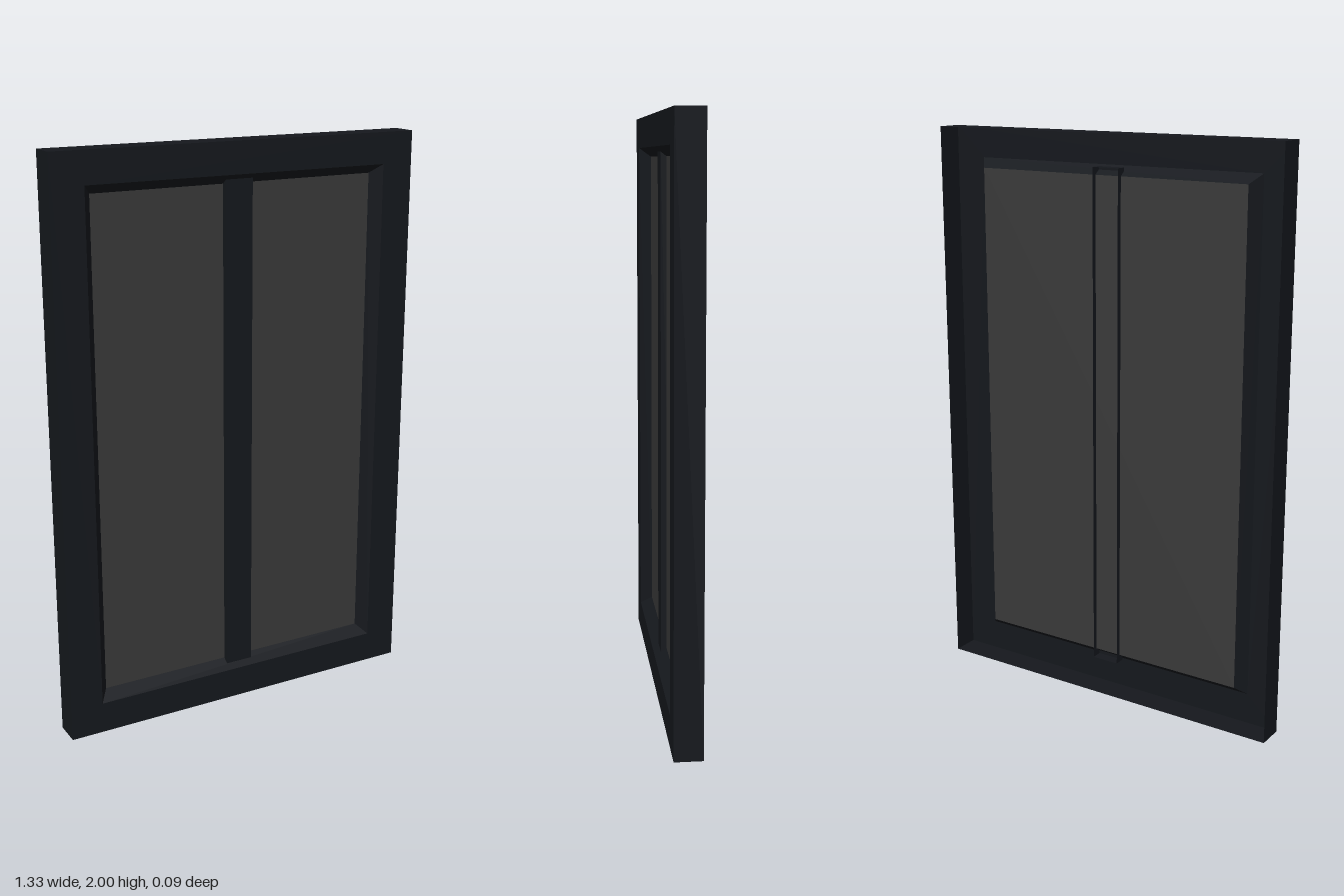
import * as THREE from 'three';

const frameMat = new THREE.MeshStandardMaterial({ color: 0x15181d, side: THREE.DoubleSide });
const glassMat = new THREE.MeshStandardMaterial({ color: 0x3a3a3a, side: THREE.DoubleSide });

// Skin through a series of rectangles, each [halfWidth, bottom, top, z]
function rectLoft(name, sections) {
  const rings = sections.map(([w, b, t, z]) => [[-w, b, z], [w, b, z], [w, t, z], [-w, t, z]]);
  const pos = [];
  for (let s = 0; s < rings.length - 1; s++) {
    const a = rings[s], c = rings[s + 1];
    for (let i = 0; i < 4; i++) {
      const j = (i + 1) % 4;
      pos.push(...a[i], ...a[j], ...c[j], ...a[i], ...c[j], ...c[i]);
    }
  }
  const geo = new THREE.BufferGeometry();
  geo.setAttribute('position', new THREE.Float32BufferAttribute(pos, 3));
  geo.computeVertexNormals();
  const mesh = new THREE.Mesh(geo, frameMat);
  mesh.name = name;
  return mesh;
}

// Flat upright panel
function panel(name, w, b, t, z, mat) {
  const mesh = new THREE.Mesh(new THREE.PlaneGeometry(2 * w, t - b), mat);
  mesh.position.set(0, (b + t) / 2, z);
  mesh.name = name;
  return mesh;
}

export function createModel() {
  const model = new THREE.Group();
  model.name = 'window';
  const depth = 0.0475, glassZ = 0.006;

  // Outer frame: shell open at the back, flat front border
  model.add(rectLoft('outerFrame', [
    [0.667, 0, 2, -depth],
    [0.667, 0, 2, depth],
    [0.552, 0.11, 1.892, depth],
  ]));

  // Sloped moulding leading in to the glass
  model.add(rectLoft('glazingBevel', [
    [0.552, 0.11, 1.892, depth],
    [0.52, 0.142, 1.86, glassZ],
  ]));

  model.add(panel('glassPane', 0.52, 0.142, 1.86, glassZ, glassMat));

  // Centre bar: channel open at the back, running through the glass
  const bar = new THREE.Group();
  bar.name = 'centreBar';
  const [w, b, t] = [0.05, 0.115, 1.887];
  bar.add(rectLoft('barSides', [[w, b, t, -0.012], [w, b, t, 0.026]]));
  bar.add(panel('barFace', w, b, t, 0.026, frameMat));
  model.add(bar);

  return model;
}
